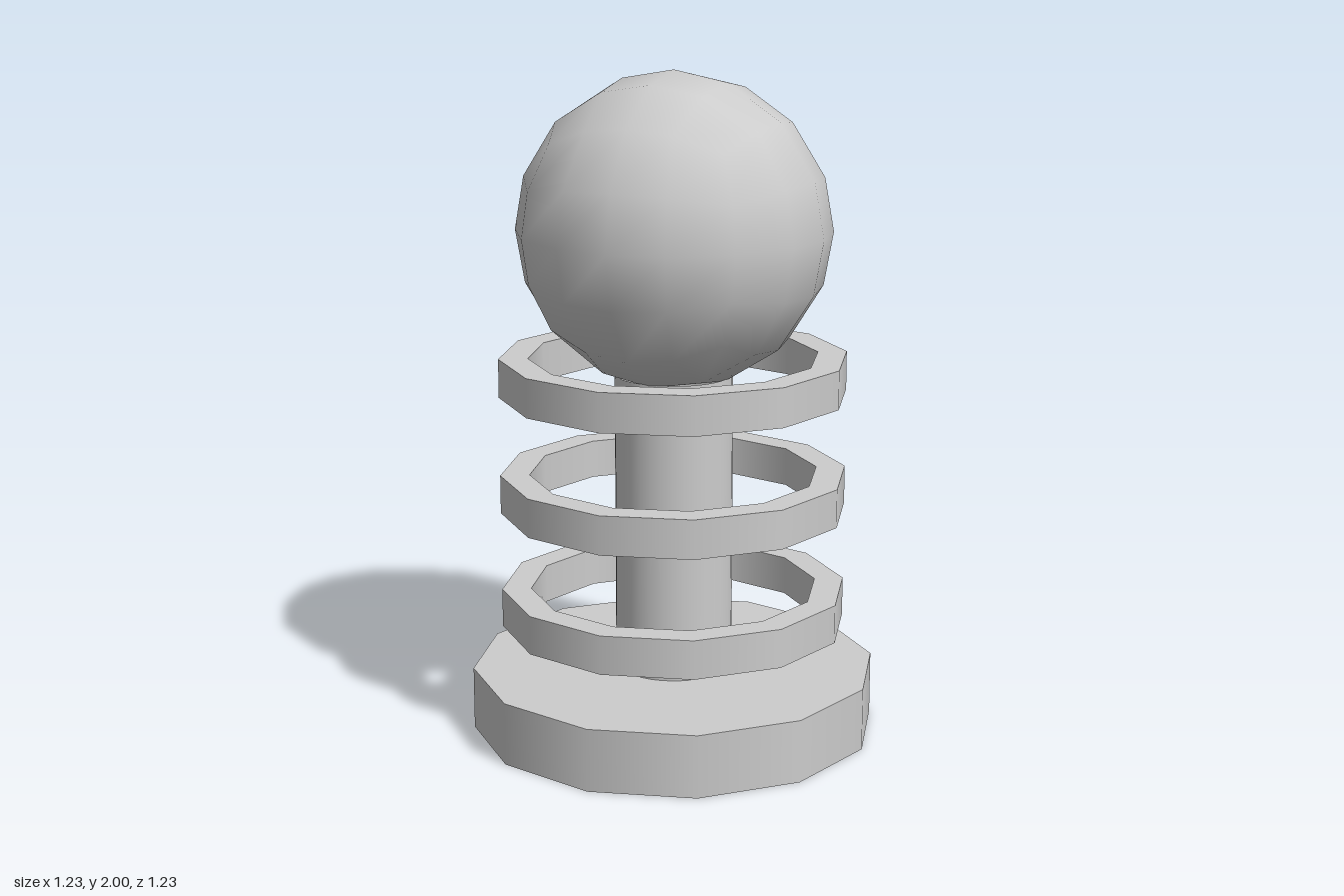
import * as THREE from 'three';
import { mergeGeometries } from 'three/addons/utils/BufferGeometryUtils.js';

// Turned shape with a sharp edge at every profile point, smooth around the axis
function turned(profile, sides) {
  const pts = profile.map(([r, y]) => new THREE.Vector2(r, y));
  const bands = [];
  for (let i = 0; i < pts.length - 1; i++) {
    bands.push(new THREE.LatheGeometry([pts[i], pts[i + 1]], sides));
  }
  return mergeGeometries(bands);
}

// Ball made from a subdivided cube, rounded evenly
function cubeBall(radius, segments) {
  const geo = new THREE.BoxGeometry(2, 2, 2, segments, segments, segments);
  const p = geo.attributes.position;
  const n = geo.attributes.normal;
  const bulge = (a, b, c) => a * Math.sqrt(1 - b * b / 2 - c * c / 2 + b * b * c * c / 3);
  for (let i = 0; i < p.count; i++) {
    const x = p.getX(i), y = p.getY(i), z = p.getZ(i);
    const v = new THREE.Vector3(bulge(x, y, z), bulge(y, z, x), bulge(z, x, y)).normalize();
    n.setXYZ(i, v.x, v.y, v.z);
    p.setXYZ(i, v.x * radius, v.y * radius, v.z * radius);
  }
  return geo;
}

export function createModel() {
  const model = new THREE.Group();
  const grey = new THREE.MeshStandardMaterial({ color: 0xcccccc, side: THREE.DoubleSide });
  grey.name = 'light grey';

  const add = (name, geometry, y = 0) => {
    const mesh = new THREE.Mesh(geometry, grey);
    mesh.name = name;
    mesh.position.y = y;
    model.add(mesh);
  };

  // Hollow base, open underneath
  add('base', turned([[0.615, 0], [0.615, 0.19], [0, 0.19]], 12));

  // Open central tube, just poking through the base plate
  add('shaft', new THREE.CylinderGeometry(0.177, 0.177, 0.925, 32, 1, true), 0.6375);

  // Three floating rings
  const ring = turned([[0.523, 0], [0.523, 0.117], [0.435, 0.117], [0.435, 0], [0.523, 0]], 12);
  [0.323, 0.68, 1.037].forEach((y, i) => add('ring' + (i + 1), ring, y));

  // Ball on top
  add('ball', cubeBall(0.47, 4), 1.53);

  return model;
}
